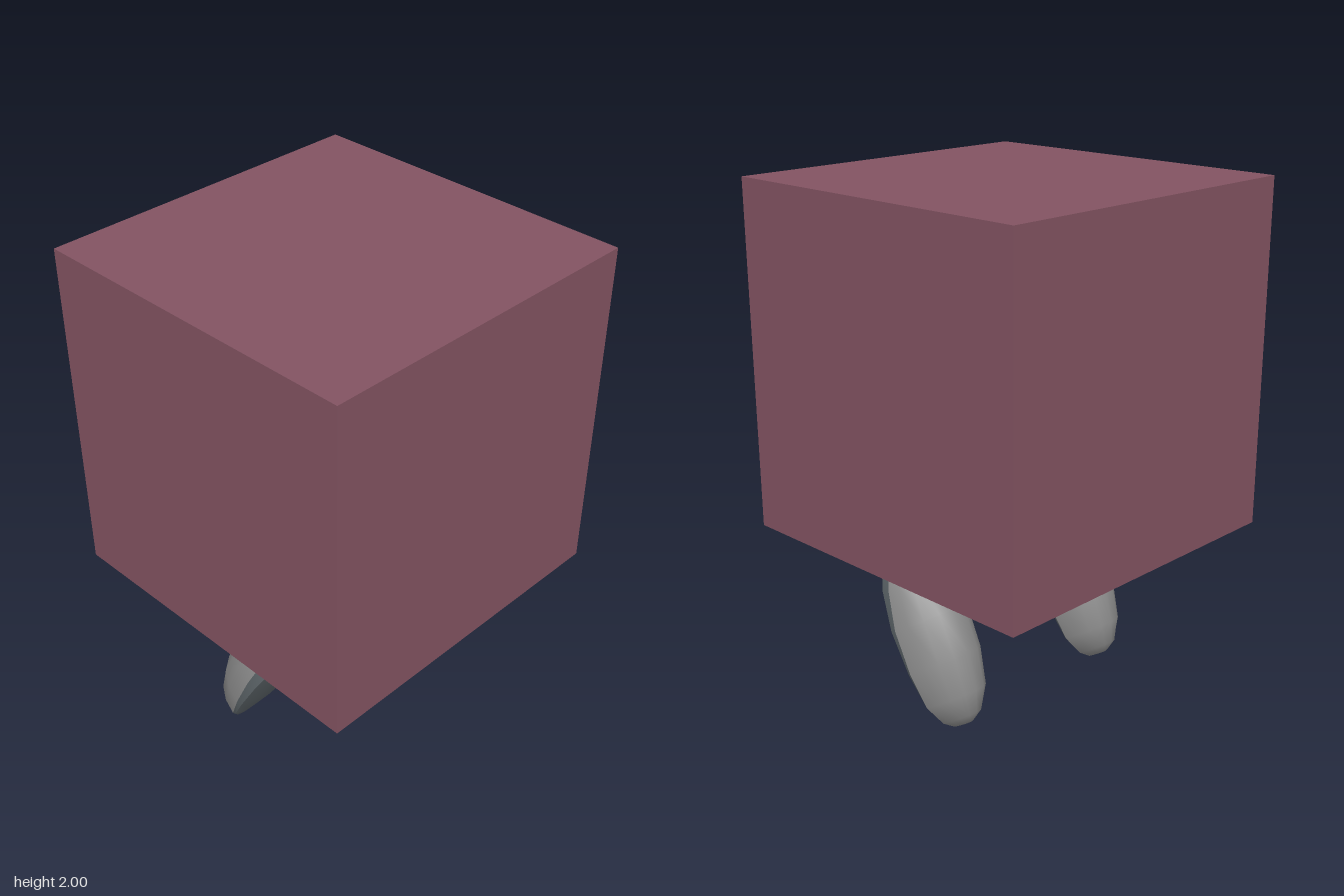
import * as THREE from 'three';
import { toCreasedNormals } from 'three/addons/utils/BufferGeometryUtils.js';

// Foot stations along the sole: [distance, half width, dome height, sole bulge]
const STATIONS = [
  [0, 0.03, 0.07, 0], [0.03, 0.075, 0.12, 0.005], [0.11, 0.125, 0.165, 0.012],
  [0.25, 0.15, 0.2, 0.016], [0.42, 0.154, 0.212, 0.018], [0.57, 0.125, 0.184, 0.018],
  [0.627, 0.1, 0.12, 0],
];
const rimHeight = (u) => 0.08 * u;

// Foot space (x, along sole, away from sole) to a foot leaning 30 degrees
const place = (x, u, v) => [x, 0.005 + 0.866 * u + 0.5 * v, -0.12 + 0.5 * u - 0.866 * v];

// Joins one open cross-section per station into a skin with closed ends
function loft(section) {
  const positions = [], index = [];
  const n = section(STATIONS[0]).length;
  const last = STATIONS.length - 1;
  STATIONS.forEach((s, i) => {
    for (const [x, v] of section(s)) positions.push(...place(x, s[0], v));
    if (i === last) return;
    for (let j = 0; j < n - 1; j++) {
      const a = i * n + j, c = a + n;
      index.push(a, a + 1, c, a + 1, c + 1, c);
    }
  });
  for (const i of [0, last]) {
    const centre = positions.length / 3;
    const u = STATIONS[i][0];
    positions.push(...place(0, u, rimHeight(u)));
    for (let j = 0; j < n - 1; j++) {
      const a = i * n + j;
      if (i) index.push(centre, a, a + 1);
      else index.push(centre, a + 1, a);
    }
  }
  const geometry = new THREE.BufferGeometry();
  geometry.setAttribute('position', new THREE.Float32BufferAttribute(positions, 3));
  geometry.setIndex(index);
  return toCreasedNormals(geometry, 0.8);
}

// Rounded back of the foot
function domeSection([u, w, h]) {
  const base = rimHeight(u);
  return Array.from({ length: 9 }, (_, j) => {
    const t = (j / 8) * Math.PI;
    return [w * Math.cos(t), base + (h - base) * Math.sin(t)];
  });
}

// Rim and slightly bulging sole
function soleSection([u, w, , bulge]) {
  const r = rimHeight(u);
  return [[-w, r], [-w * 0.95, 0], [-w * 0.5, -bulge], [w * 0.5, -bulge], [w * 0.95, 0], [w, r]];
}

export function createModel() {
  const model = new THREE.Group();
  const mesh = (name, geometry, color, parent) => {
    const m = new THREE.Mesh(geometry, new THREE.MeshStandardMaterial({ color }));
    m.name = name;
    parent.add(m);
    return m;
  };

  // Cube body
  const body = mesh('body', new THREE.BoxGeometry(1.33, 1.33, 1.33), 0x825361, model);
  body.position.y = 1.335;

  // Pair of leaning feet
  const upper = loft(domeSection), sole = loft(soleSection);
  for (const side of [1, -1]) {
    const foot = new THREE.Group();
    foot.name = side > 0 ? 'leftFoot' : 'rightFoot';
    mesh('footUpper', upper, 0x8c8c8c, foot);
    mesh('footSole', sole, 0x5c6468, foot);
    foot.position.x = side * 0.385;
    model.add(foot);
  }
  return model;
}
